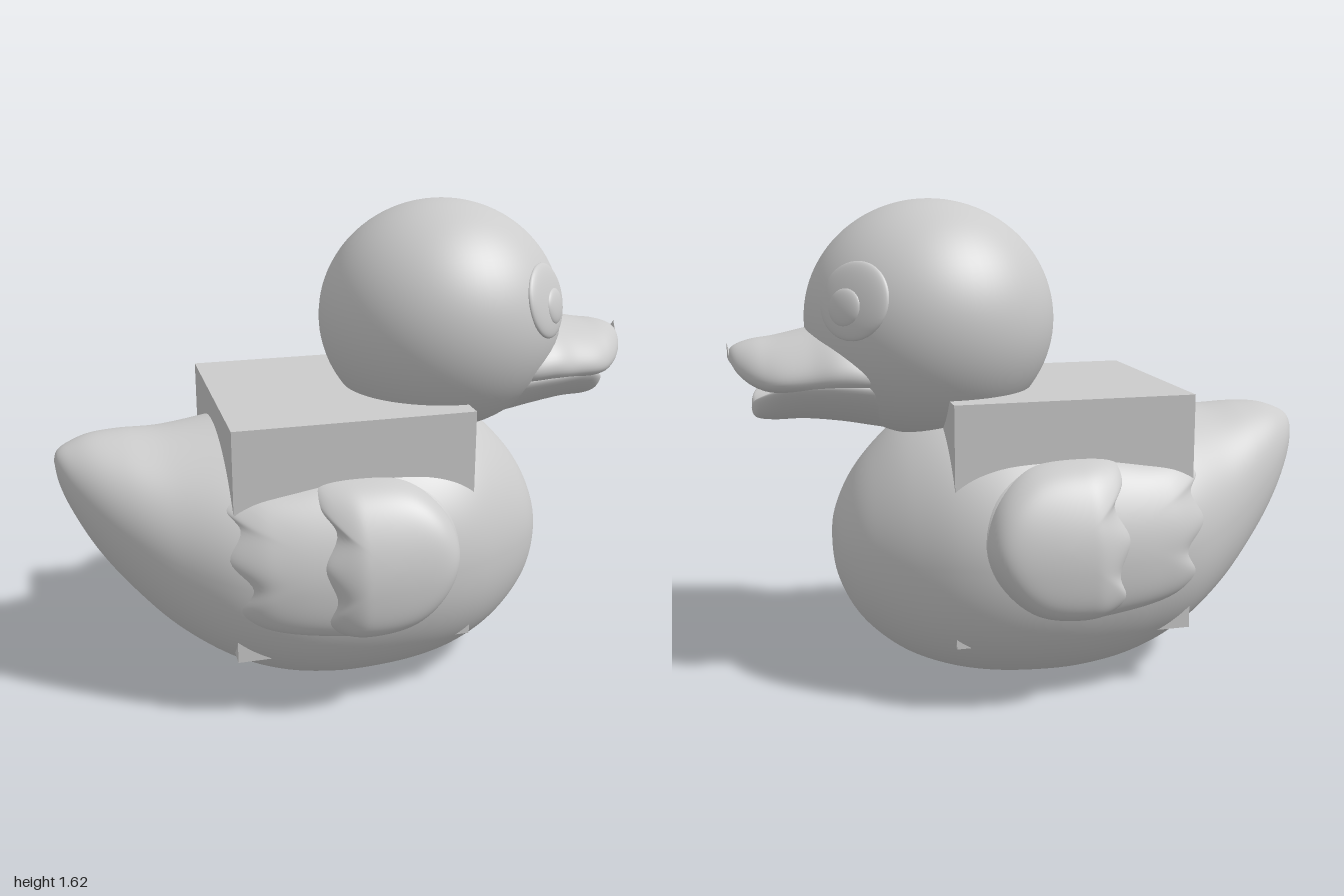
import * as THREE from 'three';
import { mergeVertices } from 'three/addons/utils/BufferGeometryUtils.js';

const material = new THREE.MeshStandardMaterial({ color: 0xcccccc, roughness: 0.7, side: THREE.DoubleSide });

function addMesh(parent, name, geometry) {
  const mesh = new THREE.Mesh(geometry, material);
  mesh.name = name;
  parent.add(mesh);
  return mesh;
}

// Smooth surface from closed rings; keep() can leave faces out
function ringSurface(rows, cols, point, flip = false, keep = () => true) {
  const pts = [], index = [];
  for (let i = 0; i <= rows; i++)
    for (let j = 0; j < cols; j++) pts.push(point(i / rows, (j / cols) * Math.PI * 2));
  const face = (a, b, c) => {
    if (keep(pts[a], pts[b], pts[c])) index.push(...(flip ? [a, c, b] : [a, b, c]));
  };
  for (let i = 0; i < rows; i++)
    for (let j = 0; j < cols; j++) {
      const k = (j + 1) % cols;
      const a = i * cols + j, b = i * cols + k, c = a + cols, d = b + cols;
      face(a, b, c);
      face(b, d, c);
    }
  let g = new THREE.BufferGeometry();
  g.setAttribute('position', new THREE.Float32BufferAttribute(pts.flat(), 3));
  g.setIndex(index);
  g = mergeVertices(g, 1e-5);
  g.computeVertexNormals();
  return g;
}

// Smooth sampler for stations [x, top, bottom, halfWidth]
function sections(stations) {
  const curve = (k) => new THREE.CatmullRomCurve3(
    stations.map((s) => new THREE.Vector3(s[0], s[k], s[3])), false, 'catmullrom');
  const tops = curve(1), bottoms = curve(2);
  return (t) => {
    const a = tops.getPoint(t), b = bottoms.getPoint(t);
    return { x: a.x, cy: (a.y + b.y) / 2, h: (a.y - b.y) / 2, w: Math.max(a.z, 0) };
  };
}

const bodySection = sections([
  [-1.0, 0.815, 0.815, 0], [-0.988, 0.845, 0.735, 0.06], [-0.95, 0.868, 0.635, 0.125],
  [-0.88, 0.89, 0.503, 0.198], [-0.78, 0.895, 0.367, 0.277], [-0.64, 0.89, 0.218, 0.37],
  [-0.47, 0.908, 0.098, 0.465], [-0.3, 0.938, 0.026, 0.511], [-0.12, 0.958, -0.005, 0.53],
  [0.05, 0.966, -0.005, 0.53], [0.2, 0.962, 0.01, 0.512], [0.33, 0.937, 0.04, 0.468],
  [0.45, 0.873, 0.09, 0.395], [0.55, 0.78, 0.165, 0.312], [0.62, 0.685, 0.25, 0.23],
  [0.668, 0.575, 0.36, 0.125], [0.682, 0.475, 0.475, 0],
]);

// The lower half of the body is slightly squarer than an ellipse
const BELLY = 2.2;

// Half width of the body at a given x and y
function bodySide(x, y) {
  let lo = 0, hi = 1;
  for (let i = 0; i < 24; i++) {
    const m = (lo + hi) / 2;
    if (bodySection(m).x < x) lo = m; else hi = m;
  }
  const s = bodySection(lo), p = y < s.cy ? BELLY : 2;
  return s.w * Math.max(0, 1 - Math.abs((y - s.cy) / s.h) ** p) ** (1 / p);
}

// Raised wing layer that follows the side of the body, thinner at its rear end
function wingLayer(outline, cx, cy, rear, height, side) {
  const curve = new THREE.CatmullRomCurve3(
    outline.map(([x, y]) => new THREE.Vector3(x, y, 0)), true, 'centripetal');
  return ringSurface(24, 96, (u, a) => {
    const p = curve.getPoint(a / (Math.PI * 2));
    const r = 1 - (1 - u) ** 1.8;
    const x = cx + (p.x - cx) * r, y = cy + (p.y - cy) * r;
    const taper = 0.6 + 0.4 * THREE.MathUtils.smoothstep(x, rear, rear + 0.13);
    const lift = height * taper * Math.sqrt(Math.max(0, 1 - r ** 9)) - 0.012 * r ** 10;
    return [x, y, side * (bodySide(x, y) + lift)];
  }, side > 0);
}

// Bill half: flattened sections, edges bent up or down, underside arched in the middle
function billHalf(stations, bend, arch) {
  const section = sections(stations);
  return ringSurface(48, 64, (u, a) => {
    const s = section(u), c = Math.cos(a), z = s.w * Math.sin(a);
    const lip = c < 0 ? -c * arch * Math.exp(-((z / 0.08) ** 2)) : 0;
    const y = s.cy + s.h * c + lip + bend * Math.sin(a) ** 2 * Math.min(1, s.w / 0.2);
    return [s.x, y, z];
  });
}

export function createModel() {
  const duck = new THREE.Group();
  duck.name = 'duck';

  // Body with a round drain hole in its base
  const holeX = -0.07, holeR = 0.088;
  const inHole = (p) => p[1] < 0.1 && Math.hypot(p[0] - holeX, p[2]) < holeR;
  addMesh(duck, 'body', ringSurface(128, 200, (u, a) => {
    const s = bodySection(u), c = Math.cos(a), n = Math.sin(a);
    const e = c < 0 ? 2 / BELLY : 1;
    const y = s.cy + s.h * Math.sign(c) * Math.abs(c) ** e;
    return [s.x, Math.max(0.003, y), s.w * Math.sign(n) * Math.abs(n) ** e];
  }, false, (a, b, c) => !(inHole(a) || inHole(b) || inHole(c))));
  const rim = addMesh(duck, 'drainHoleRim', new THREE.RingGeometry(holeR, holeR + 0.027, 48));
  rim.rotation.x = Math.PI / 2;
  rim.position.set(holeX, 0.002, 0);
  addMesh(duck, 'drainHoleWall', new THREE.CylinderGeometry(holeR, holeR, 0.05, 48, 1, true))
    .position.set(holeX, 0.027, 0);

  // Block set into the back
  addMesh(duck, 'block', new THREE.BoxGeometry(0.8, 0.8, 0.8)).position.set(-0.07, 0.6, 0);

  // Head
  const centre = new THREE.Vector3(0.332, 1.23, 0);
  const radii = new THREE.Vector3(0.418, 0.395, 0.4);
  const head = addMesh(duck, 'head', new THREE.SphereGeometry(1, 64, 48));
  head.position.copy(centre);
  head.scale.copy(radii);

  // Bill, closed at the mouth corners and open at the tip
  addMesh(duck, 'upperBill', billHalf([
    [0.45, 1.2, 1.01, 0.23], [0.56, 1.215, 1.01, 0.28], [0.66, 1.228, 1.01, 0.278],
    [0.75, 1.208, 1.01, 0.25], [0.85, 1.187, 1.015, 0.22], [0.92, 1.178, 1.03, 0.17],
    [0.97, 1.163, 1.06, 0.105], [0.993, 1.145, 1.095, 0.05], [1.0, 1.12, 1.12, 0],
  ], -0.04, 0.05));
  addMesh(duck, 'lowerBill', billHalf([
    [0.4, 1.03, 0.85, 0.22], [0.52, 1.03, 0.873, 0.262], [0.64, 1.03, 0.897, 0.265],
    [0.76, 1.015, 0.911, 0.232], [0.85, 0.995, 0.91, 0.185], [0.905, 0.982, 0.915, 0.115],
    [0.925, 0.97, 0.928, 0.055], [0.93, 0.95, 0.95, 0],
  ], 0.08, 0));

  const wingOutline = [
    [0.26, 0.56], [0.22, 0.7], [0.1, 0.79], [-0.1, 0.812], [-0.3, 0.785], [-0.46, 0.77],
    [-0.505, 0.74], [-0.465, 0.685], [-0.51, 0.59], [-0.435, 0.495], [-0.475, 0.41],
    [-0.4, 0.35], [-0.2, 0.31], [-0.05, 0.3], [0.1, 0.33], [0.22, 0.44],
  ];
  const lobeOutline = [
    [0.25, 0.56], [0.21, 0.69], [0.1, 0.785], [-0.08, 0.81], [-0.2, 0.795], [-0.215, 0.75],
    [-0.17, 0.675], [-0.22, 0.57], [-0.18, 0.45], [-0.205, 0.37], [-0.15, 0.32],
    [-0.04, 0.305], [0.1, 0.335], [0.21, 0.44],
  ];

  for (const side of [1, -1]) {
    const label = side > 0 ? 'Near' : 'Far';

    // Wing: feathered rear layer under a thicker front lobe
    const wing = new THREE.Group();
    wing.name = 'wing' + label;
    addMesh(wing, 'wingFeathers', wingLayer(wingOutline, -0.12, 0.56, -0.5, 0.022, side));
    addMesh(wing, 'wingLobe', wingLayer(lobeOutline, 0.02, 0.56, -0.21, 0.072, side));
    duck.add(wing);

    // Eye: shallow domes laid on the head surface
    const eyePart = (name, dx, y, z, inset, size) => {
      const n = new THREE.Vector3(dx, y - centre.y, z * side).divide(radii).normalize();
      const spot = n.clone().multiply(radii).add(centre);
      const normal = n.divide(radii).normalize();
      const eye = addMesh(duck, name + label, new THREE.SphereGeometry(1, 40, 24));
      eye.scale.set(...size);
      eye.position.copy(spot).addScaledVector(normal, -inset);
      eye.lookAt(eye.position.clone().add(normal));
    };
    eyePart('eye', 0.275, 1.315, 0.253, 0.02, [0.132, 0.125, 0.027]);
    eyePart('pupil', 0.293, 1.293, 0.245, 0, [0.064, 0.06, 0.018]);
  }
  return duck;
}
